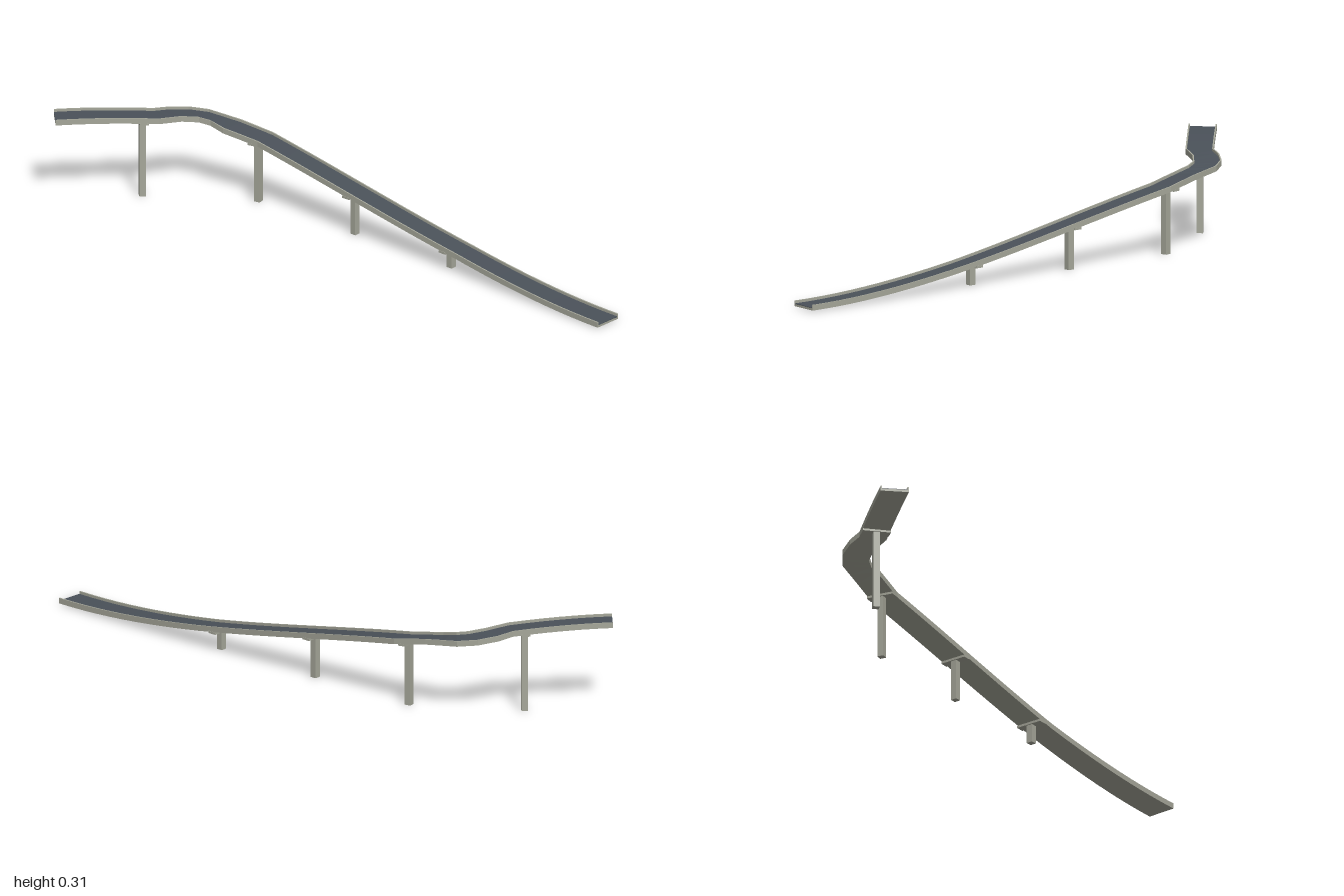
import * as THREE from 'three';

// Plan of the two road edges as [x, z], from the high end to the low end
const INNER = [[-0.468, -0.92], [-0.161, -0.751], [-0.077, -0.735], [-0.024, -0.709], [0, -0.677],
  [0.013, -0.624], [0.066, -0.503], [0.25, 0.352], [0.362, 0.992]];
const OUTER = [[-0.415, -1], [-0.12, -0.836], [-0.066, -0.83], [0.003, -0.804], [0.055, -0.757],
  [0.108, -0.645], [0.156, -0.534], [0.341, 0.338], [0.463, 0.974]];
const BASE = 0.003, RISE = 0.293;

// Subdivide the edges and give each section an S-shaped descent by distance travelled
function makeSections() {
  const sections = [];
  const add = (i, t) => {
    const j = Math.min(i + 1, INNER.length - 1);
    const mix = (e) => new THREE.Vector2(...e[i]).lerp(new THREE.Vector2(...e[j]), t);
    const a = mix(INNER), b = mix(OUTER);
    sections.push({ a, b, mid: a.clone().lerp(b, 0.5) });
  };
  for (let i = 0; i < INNER.length - 1; i++) {
    const length = Math.hypot(INNER[i + 1][0] - INNER[i][0], INNER[i + 1][1] - INNER[i][1]);
    const steps = Math.max(2, Math.round(length / 0.06));
    for (let k = 0; k < steps; k++) add(i, k / steps);
  }
  add(INNER.length - 1, 0);
  let run = 0;
  sections.forEach((s, k) => {
    if (k) run += s.mid.distanceTo(sections[k - 1].mid);
    s.run = run;
  });
  for (const s of sections) s.y = BASE + RISE * (1 - THREE.MathUtils.smoothstep(s.run, 0, run));
  return sections;
}

// Loft a counter-clockwise profile of [fraction across, height] along the road
function loft(sections, profile) {
  const pos = [];
  const n = profile.length;
  const put = (s, i) => {
    const [f, h] = profile[i % n];
    const p = s.a.clone().lerp(s.b, f);
    pos.push(p.x, s.y + h, p.y);
  };
  for (let k = 0; k < sections.length - 1; k++) {
    const s = sections[k], e = sections[k + 1];
    for (let i = 0; i < n; i++) {
      put(s, i); put(s, i + 1); put(e, i + 1);
      put(s, i); put(e, i + 1); put(e, i);
    }
  }
  // Closed ends
  const first = sections[0], last = sections[sections.length - 1];
  const outline = profile.map(([f, h]) => new THREE.Vector2(f, h));
  for (const [a, b, c] of THREE.ShapeUtils.triangulateShape(outline, [])) {
    put(last, a); put(last, b); put(last, c);
    put(first, c); put(first, b); put(first, a);
  }
  const geometry = new THREE.BufferGeometry();
  geometry.setAttribute('position', new THREE.Float32BufferAttribute(pos, 3));
  geometry.computeVertexNormals();
  return geometry;
}

export function createModel() {
  const model = new THREE.Group();
  model.name = 'elevatedRoad';
  const concrete = new THREE.MeshStandardMaterial({ color: 0xa5a699 });
  const asphalt = new THREE.MeshStandardMaterial({ color: 0x4a5159 });
  const sections = makeSections();

  const addMesh = (parent, name, geometry, material) => {
    const mesh = new THREE.Mesh(geometry, material);
    mesh.name = name;
    parent.add(mesh);
    return mesh;
  };

  // Slab with a low curb along both edges
  const c = 0.05;
  addMesh(model, 'slabAndCurbs', loft(sections, [[0, 0], [1, 0], [1, 0.019], [1 - c, 0.019],
    [1 - c, 0.008], [c, 0.008], [c, 0.019], [0, 0.019]]), concrete);

  // Road surface between the curbs
  addMesh(model, 'roadSurface', loft(sections, [[c, 0.007], [1 - c, 0.007], [1 - c, 0.01], [c, 0.01]]), asphalt);

  // Piers with a cross beam, turned to the road's direction
  for (const z of [-0.816, -0.543, -0.131, 0.286]) {
    const k = sections.findIndex((s) => s.mid.y > z);
    const p = sections[k - 1], q = sections[k];
    const t = (z - p.mid.y) / (q.mid.y - p.mid.y);
    const top = THREE.MathUtils.lerp(p.y, q.y, t);
    const pier = new THREE.Group();
    pier.name = 'pier';
    pier.position.set(THREE.MathUtils.lerp(p.mid.x, q.mid.x, t), 0, z);
    pier.rotation.y = Math.atan2(q.mid.x - p.mid.x, q.mid.y - p.mid.y);
    addMesh(pier, 'post', new THREE.BoxGeometry(0.022, top, 0.022), concrete).position.y = top / 2;
    addMesh(pier, 'crossBeam', new THREE.BoxGeometry(0.096, 0.008, 0.03), concrete).position.y = top - 0.002;
    model.add(pier);
  }
  return model;
}
